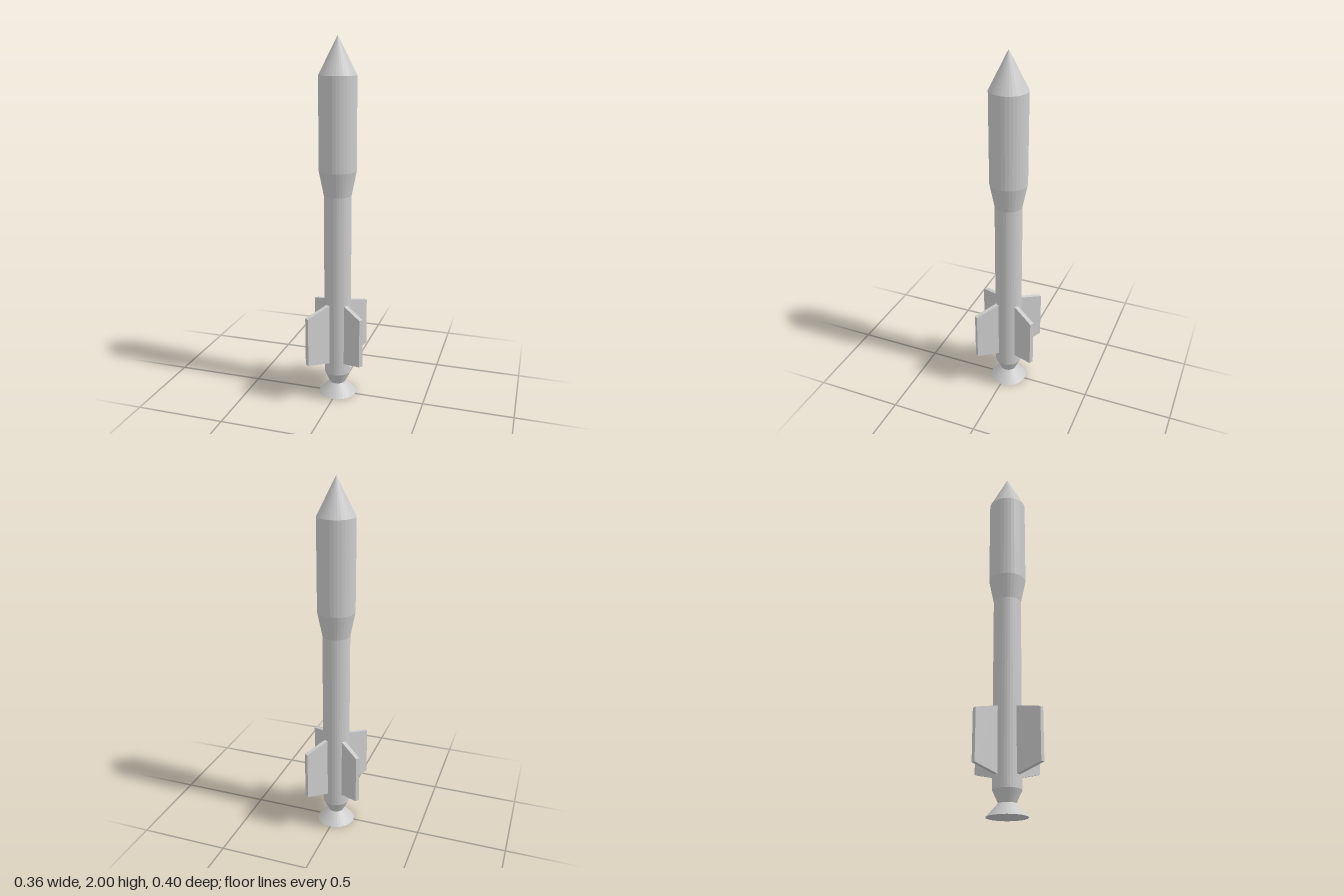
import * as THREE from 'three';

const material = new THREE.MeshStandardMaterial({ color: 0xcccccc, flatShading: true });
const SIDES = 32;

export function createModel() {
  const model = new THREE.Group();
  model.name = 'rocket';
  // the body axis sits slightly off centre because the fins differ in reach
  const rocket = new THREE.Group();
  rocket.name = 'rocketAssembly';
  rocket.position.set(-0.002, 0, -0.008);
  model.add(rocket);

  // Body sections: name, bottom y, top y, bottom radius, top radius
  const sections = [
    ['engineNozzle', 0, 0.067, 0.106, 0.045],
    ['engineCollar', 0.067, 0.132, 0.045, 0.075],
    ['lowerStage', 0.132, 1.165, 0.075, 0.075],
    ['adapterCone', 1.165, 1.3, 0.075, 0.102],
    ['payloadFairing', 1.3, 1.8, 0.102, 0.102],
    ['noseCone', 1.8, 2, 0.102, 0],
  ];
  for (const [name, y0, y1, r0, r1] of sections) {
    const mesh = new THREE.Mesh(new THREE.CylinderGeometry(r1, r0, y1 - y0, SIDES), material);
    mesh.name = name;
    mesh.position.y = (y0 + y1) / 2;
    rocket.add(mesh);
  }

  // Tapered fins: name, angle in degrees, tip radius
  const thickness = 0.023;
  const fins = [
    ['finBackLeft', 59, 0.218],
    ['finFrontLeft', -37, 0.215],
    ['finFrontRight', 239.5, 0.229],
    ['finBackRight', 142.2, 0.216],
  ];
  for (const [name, angle, tip] of fins) {
    const outline = new THREE.Shape([
      [0.05, 0.2], [0.073, 0.2], [tip, 0.238], [tip, 0.512], [0.073, 0.55], [0.05, 0.55],
    ].map(([x, y]) => new THREE.Vector2(x, y)));
    const geometry = new THREE.ExtrudeGeometry(outline, { depth: thickness, bevelEnabled: false });
    geometry.translate(0, 0, -thickness / 2);
    const fin = new THREE.Mesh(geometry, material);
    fin.name = name;
    fin.rotation.y = THREE.MathUtils.degToRad(angle);
    rocket.add(fin);
  }
  return model;
}
